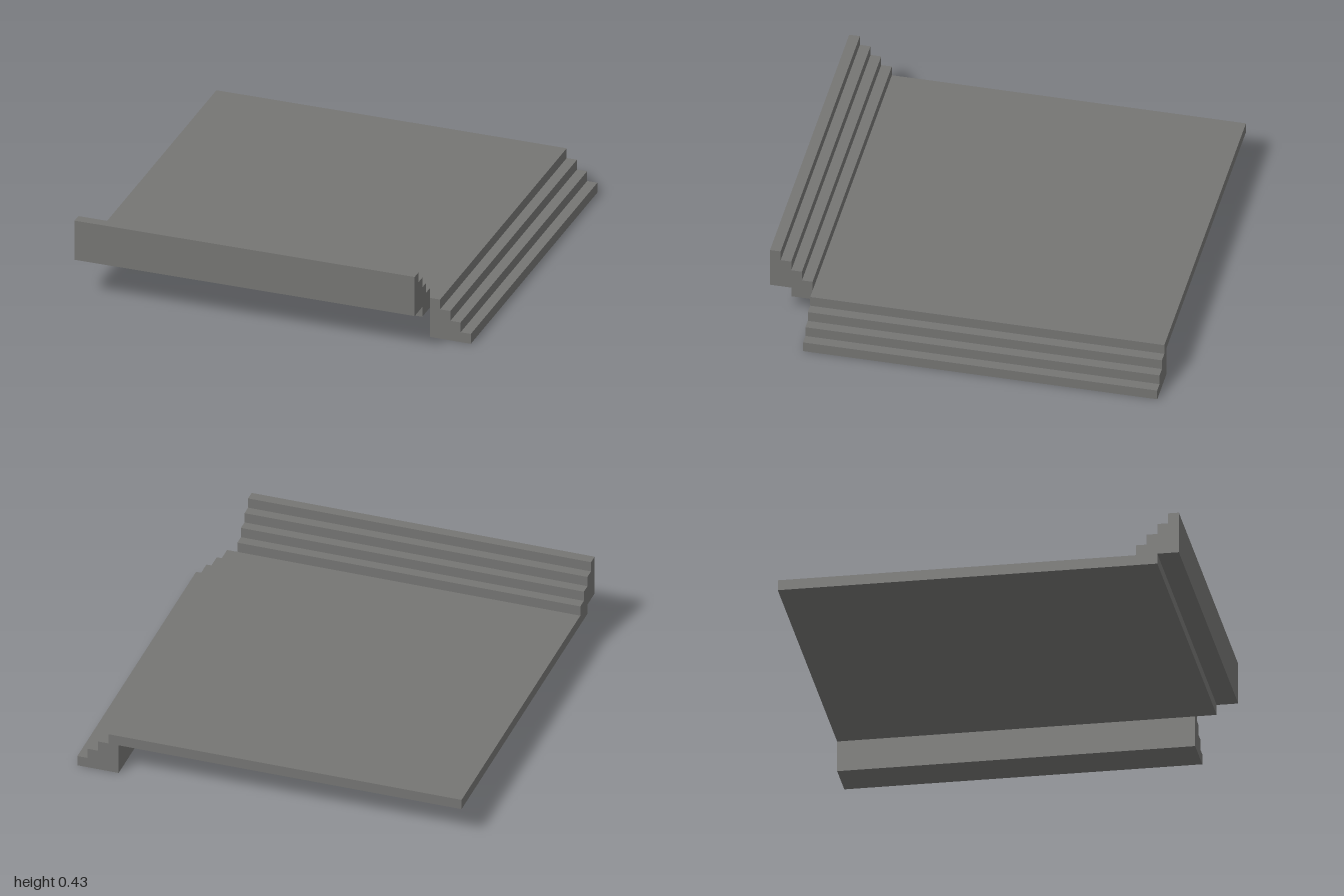
import * as THREE from 'three';

const S = 0.0537;           // rise and tread of one step
const EDGE = 1 - 4 * S;     // where the platform meets the steps
const LENGTH = 1 + EDGE;    // length of each flight

export function createModel() {
  const group = new THREE.Group();
  const grey = new THREE.MeshStandardMaterial({ color: 0x757573 });
  grey.name = 'stone grey';

  const add = (name, geometry) => {
    const mesh = new THREE.Mesh(geometry, grey);
    mesh.name = name;
    group.add(mesh);
    return mesh;
  };

  // Extrude a profile given in whole steps from the platform edge
  const flight = (points) => new THREE.ExtrudeGeometry(
    new THREE.Shape(points.map(([u, v]) => new THREE.Vector2(EDGE + u * S, v * S))),
    { depth: LENGTH, bevelEnabled: false });

  // Thin platform slab
  add('platform', new THREE.BoxGeometry(LENGTH, S, LENGTH))
    .position.set((EDGE - 1) / 2, 3.5 * S, (EDGE - 1) / 2);

  // Steps going down on the left side, solid to the ground
  const down = [[0, 0], [4, 0]];
  for (let i = 4; i > 0; i--) down.push([i, 5 - i], [i - 1, 5 - i]);
  add('descendingSteps', flight(down)).position.z = -1;

  // Steps going up at the front, with a notched underside
  const up = [[0, 3], [2, 3], [2, 4], [4, 4], [4, 8]];
  for (let i = 3; i >= 0; i--) {
    up.push([i, i + 5]);
    if (i > 0) up.push([i, i + 4]);
  }
  add('ascendingSteps', flight(up).rotateY(-Math.PI / 2)).position.x = EDGE;

  return group;
}
